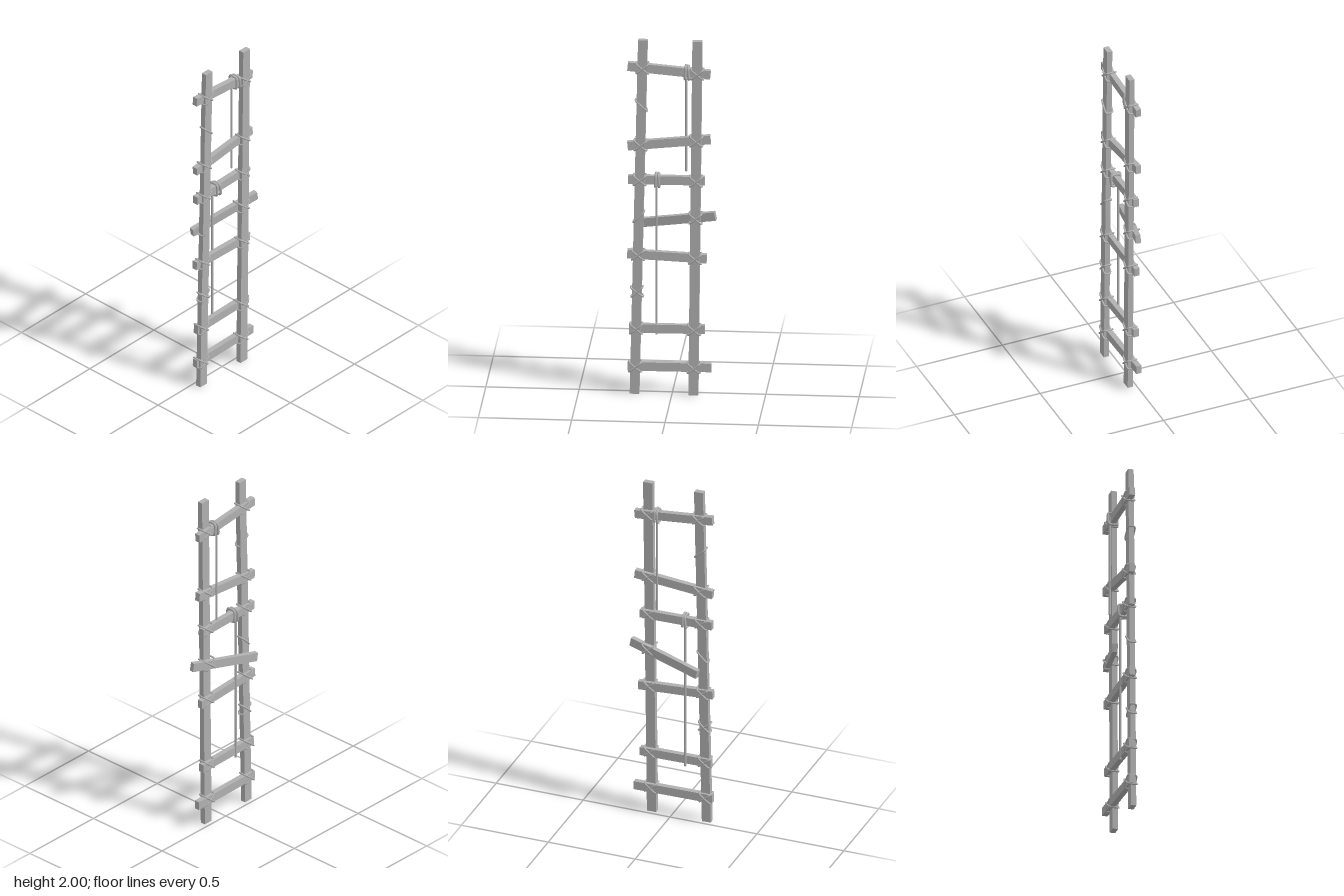
import * as THREE from 'three';

const wood = new THREE.MeshStandardMaterial({ color: 0xb0b0b0 });
wood.name = 'grey wood and rope';

const V = (x, y, z) => new THREE.Vector3(x, y, z);

// Square-cut timber running between two points
function beam(name, a, b, width, depth) {
  const along = b.clone().sub(a);
  const mesh = new THREE.Mesh(new THREE.BoxGeometry(along.length(), width, depth), wood);
  const x = along.normalize();
  const z = V(0, 0, 1).addScaledVector(x, -x.z).normalize();
  const y = z.clone().cross(x);
  mesh.quaternion.setFromRotationMatrix(new THREE.Matrix4().makeBasis(x, y, z));
  mesh.position.copy(a).add(b).multiplyScalar(0.5);
  mesh.name = name;
  return mesh;
}

// Rounded rectangular loop of rope in the local x-z plane
function ropeLoop(halfX, halfZ, radius) {
  const c = 0.012, pts = [];
  for (const [sx, sz, start] of [[1, 1, 0], [-1, 1, 1], [-1, -1, 2], [1, -1, 3]]) {
    for (let i = 0; i <= 3; i++) {
      const t = (start + i / 3) * Math.PI / 2;
      pts.push(V(sx * (halfX - c) + c * Math.cos(t), 0, sz * (halfZ - c) + c * Math.sin(t)));
    }
  }
  const path = new THREE.CurvePath();
  pts.forEach((p, i) => path.add(new THREE.LineCurve3(p, pts[(i + 1) % pts.length])));
  const smooth = new THREE.CatmullRomCurve3(pts, true, 'centripetal');
  return new THREE.Mesh(new THREE.TubeGeometry(smooth, 48, radius, 8, true), wood);
}

// Diagonal rope turns around a rail; one angle per turn
function lashing(name, x, y, zMin, zMax, angles) {
  const g = new THREE.Group();
  g.name = name;
  angles.forEach((angle, i) => {
    const loop = ropeLoop(0.042, (zMax - zMin) / 2 - i * 0.002, 0.005);
    loop.rotation.z = angle;
    loop.name = 'ropeTurn';
    g.add(loop);
  });
  g.position.set(x, y, (zMin + zMax) / 2);
  return g;
}

// Two turns round a rung with a loose end hanging behind it
function hangingRope(x, y, bottom, zRope, zCoil) {
  const g = new THREE.Group();
  g.name = 'hangingRope';
  for (const s of [-1, 1]) {
    const coil = ropeLoop(0.034, 0.026, 0.007);
    coil.rotation.set(0, 0, Math.PI / 2 + s * 0.06);
    coil.position.set(x + s * 0.009, y, zCoil + s * 0.003);
    coil.name = 'ropeCoil';
    g.add(coil);
  }
  const top = y + 0.01;
  const strand = new THREE.Mesh(new THREE.CylinderGeometry(0.0065, 0.0065, top - bottom, 8), wood);
  strand.position.set(x - 0.006, (top + bottom) / 2, zRope);
  strand.name = 'ropeStrand';
  g.add(strand);
  return g;
}

export function createModel() {
  const model = new THREE.Group();
  model.name = 'ladder';

  // Rails lean slightly to one side
  const leftX = y => -0.2 + 0.0225 * y;
  const rightX = y => 0.115 + 0.011 * y;
  const zRail = 0.036;
  model.add(beam('railA', V(leftX(0), 0, zRail), V(leftX(2), 2, zRail), 0.051, 0.03));
  model.add(beam('railB', V(rightX(0), 0, zRail), V(rightX(2), 2, zRail), 0.053, 0.03));

  // Rungs: start x, start y, end x, end y
  const rungs = [
    [-0.238, 0.15, 0.21, 0.15],
    [-0.23, 0.365, 0.175, 0.365],
    [-0.24, 0.785, 0.185, 0.765],
    [-0.235, 1.205, 0.175, 1.205],
    [-0.238, 1.395, 0.205, 1.44],
    [-0.238, 1.845, 0.205, 1.805],
  ];
  const cross = [0.68, -0.68];
  for (const [x0, y0, x1, y1] of rungs) {
    model.add(beam('rung', V(x0, y0, 0.024), V(x1, y1, 0.016), 0.048, 0.03));
    const yAt = x => y0 + (y1 - y0) * (x - x0) / (x1 - x0);
    for (const railX of [leftX, rightX]) {
      const x = railX(y0);
      model.add(lashing('lashing', x, yAt(x), 0.0, 0.056, cross));
    }
  }

  // Broken rung, loose at one end and swung backwards
  model.add(beam('brokenRung', V(-0.18, 0.935, -0.053), V(0.233, 1.012, 0.03), 0.048, 0.028));
  model.add(lashing('brokenRungLashing', rightX(1), 0.995, -0.012, 0.056, cross));

  // Leftover rope turns on one rail
  for (const [y, angles] of [[1.63, [-0.75]], [1.0, [0.8]], [0.575, [0.75, -0.65]]]) {
    model.add(lashing('looseLashing', leftX(y), y, 0.016, 0.056, angles));
  }

  // Ropes dangling from two rungs
  model.add(hangingRope(0.08, 1.815, 1.25, -0.001, 0.018));
  model.add(hangingRope(-0.079, 1.205, 0.325, 0.007, 0.024));

  return model;
}
